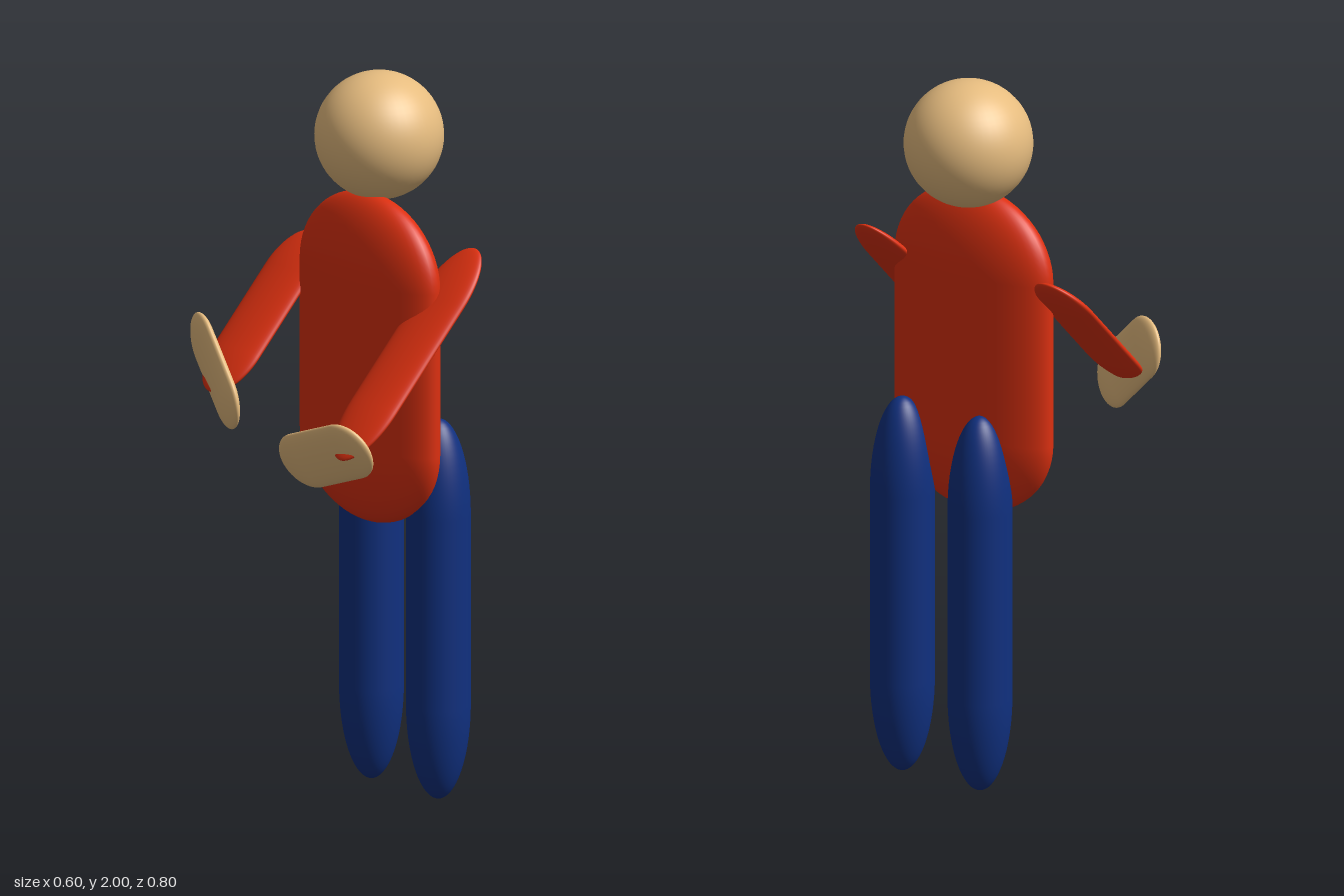
import * as THREE from 'three';

const material = (color) => new THREE.MeshStandardMaterial({ color });

export function createModel() {
  const model = new THREE.Group();
  const skin = material(0xe6bc7f);
  const red = material(0xdc3010);
  const blue = material(0x10307f);

  // Unit capsule: 1 wide, 2 tall, stretched into every limb
  const capsule = new THREE.CapsuleGeometry(0.5, 1, 16, 48);

  // size = [width, length, thickness]; axis = long direction, normal = thin direction
  function limb(name, mat, center, size, axis = [0, 1, 0], normal = [1, 0, 0]) {
    const mesh = new THREE.Mesh(capsule, mat);
    const y = new THREE.Vector3(...axis).normalize();
    const z = new THREE.Vector3(...normal);
    z.addScaledVector(y, -z.dot(y)).normalize();
    const x = new THREE.Vector3().crossVectors(y, z);
    mesh.quaternion.setFromRotationMatrix(new THREE.Matrix4().makeBasis(x, y, z));
    mesh.scale.set(size[0], size[1] / 2, size[2]);
    mesh.position.set(...center);
    mesh.name = name;
    model.add(mesh);
  }

  // Head
  const head = new THREE.Mesh(new THREE.SphereGeometry(0.175, 48, 32), skin);
  head.position.set(0.127, 1.825, 0.025);
  head.name = 'head';
  model.add(head);

  // Flattened torso, facing -x
  limb('torso', red, [0.068, 1.22, 0.052], [0.525, 0.92, 0.175]);

  // Legs
  limb('legA', blue, [0.156, 0.533, 0.228], [0.175, 1.066, 0.175]);
  limb('legB', blue, [0.156, 0.533, -0.037], [0.175, 1.066, 0.175]);

  // Flat arms reaching down and forward at 45 degrees
  const armAxis = [1, 1, 0], armNormal = [-1, 1, 0];
  limb('armA', red, [-0.036, 1.303, 0.313], [0.175, 0.7, 0.044], armAxis, armNormal);
  limb('armB', red, [-0.036, 1.3, -0.262], [0.175, 0.535, 0.044], armAxis, armNormal);

  // Flat hands, slanting down towards each other
  limb('handA', skin, [-0.255, 1.043, 0.227], [0.175, 0.35, 0.044], [-0.013, 0.35, 0.936], [0.916, 0.38, -0.13]);
  limb('handB', skin, [-0.211, 1.168, -0.26], [0.175, 0.35, 0.044], [0.213, 0.662, -0.718], [0.919, 0.115, 0.377]);

  return model;
}
